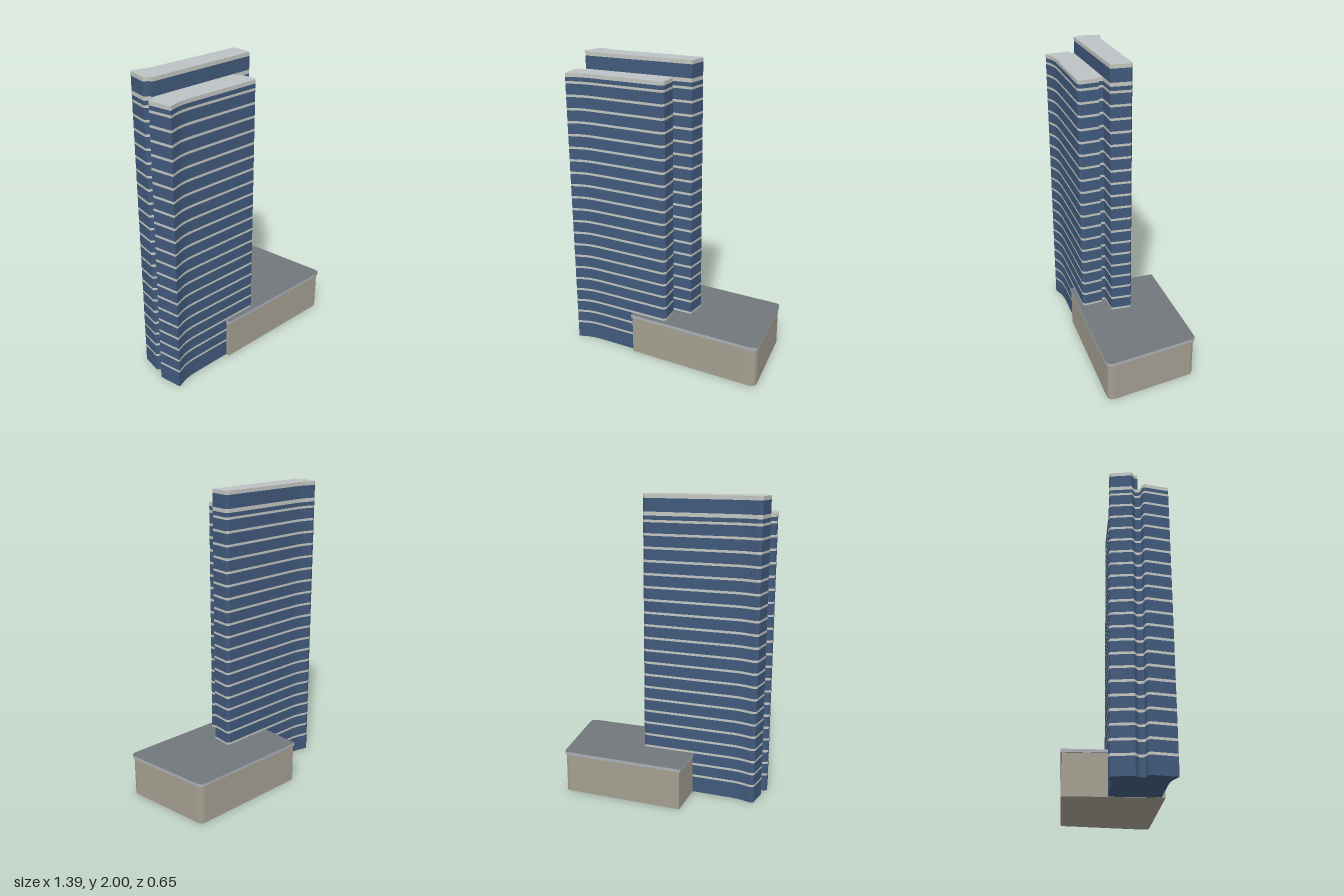
import * as THREE from 'three';

const mat = (name, color) => {
  const m = new THREE.MeshStandardMaterial({ color });
  m.name = name;
  return m;
};

// Plan outline from [x, z, cornerRadius] points; radius 0 gives a sharp corner
function outline(points) {
  const shape = new THREE.Shape();
  const n = points.length;
  points.forEach(([x, z, r = 0], i) => {
    const p = new THREE.Vector2(x, -z);
    const toward = (q) => {
      const d = new THREE.Vector2(q[0], -q[1]).sub(p);
      return p.clone().add(d.setLength(Math.min(r, d.length() * 0.45)));
    };
    const a = toward(points[(i + n - 1) % n]);
    const b = toward(points[(i + 1) % n]);
    if (i === 0) shape.moveTo(a.x, a.y);
    else shape.lineTo(a.x, a.y);
    if (r > 0) shape.quadraticCurveTo(p.x, p.y, b.x, b.y);
  });
  shape.closePath();
  return shape;
}

// Vertical slab of a plan outline between two heights
function slab(name, shape, y0, y1, capMat, sideMat) {
  const geo = new THREE.ExtrudeGeometry(shape, { depth: y1 - y0, bevelEnabled: false, curveSegments: 5 });
  geo.rotateX(-Math.PI / 2);
  const mesh = new THREE.Mesh(geo, [capMat, sideMat]);
  mesh.name = name;
  mesh.position.y = y0;
  return mesh;
}

export function createModel() {
  const glass = mat('blue glass', 0x415a7c);
  const trim = mat('pale floor band', 0xc3c6c1);
  const roof = mat('light grey roof', 0xbcc2c5);
  const stone = mat('beige stone', 0xa59f91);
  const deck = mat('dark grey deck', 0x72777b);
  const coping = mat('grey coping', 0xaab1b8);

  const model = new THREE.Group();
  model.name = 'twinSlabTower';

  // Podium with a slightly wider coping
  const podiumPlan = [
    [-0.213, -0.328], [0.622, -0.304, 0.035], [0.697, 0.325, 0.05], [-0.23, 0.3],
  ];
  const inset = podiumPlan.map(([x, z, r]) => [0.235 + (x - 0.235) * 0.985, z * 0.977, r]);
  const podium = new THREE.Group();
  podium.name = 'podium';
  podium.add(
    slab('podiumWalls', outline(inset), 0, 0.265, stone, stone),
    slab('podiumCoping', outline(podiumPlan), 0.265, 0.285, deck, coping),
  );
  model.add(podium);

  // Tower: glass storeys alternating with flush pale bands, then a roof slab
  function tower(name, plan, bands, height) {
    const group = new THREE.Group();
    group.name = name;
    const shape = outline(plan);
    let y = 0.002;
    for (const [y0, y1] of bands) {
      group.add(slab('glassStorey', shape, y, y0, glass, glass));
      group.add(slab('floorBand', shape, y0, y1, trim, trim));
      y = y1;
    }
    group.add(slab('topStorey', shape, y, height - 0.025, glass, glass));
    group.add(slab('roofSlab', shape, height - 0.025, height, roof, trim));
    model.add(group);
  }

  const bands = [];
  for (let i = 0; i < 21; i++) {
    const y = 0.121 + i * 0.0855;
    bands.push([y - 0.008, y + 0.008]);
  }

  const backPlan = [
    [-0.645, -0.07], [-0.625, -0.08, 0.01], [-0.53, -0.051, 0.05], [0.122, -0.037],
    [0.14, -0.024], [0.128, 0.105], [-0.638, 0.105], [-0.638, 0.086], [-0.668, 0.064],
  ];
  const frontPlan = [
    [-0.695, 0.142], [-0.683, 0.13], [-0.645, 0.121], [-0.638, 0.105], [-0.012, 0.105],
    [-0.012, 0.138], [0.012, 0.138], [0.02, 0.258], [0.004, 0.275], [-0.57, 0.262, 0.08],
    [-0.67, 0.297],
  ];
  tower('backTower', backPlan, [...bands, [1.865, 1.89]], 2);
  tower('frontTower', frontPlan, bands, 1.89);

  return model;
}
